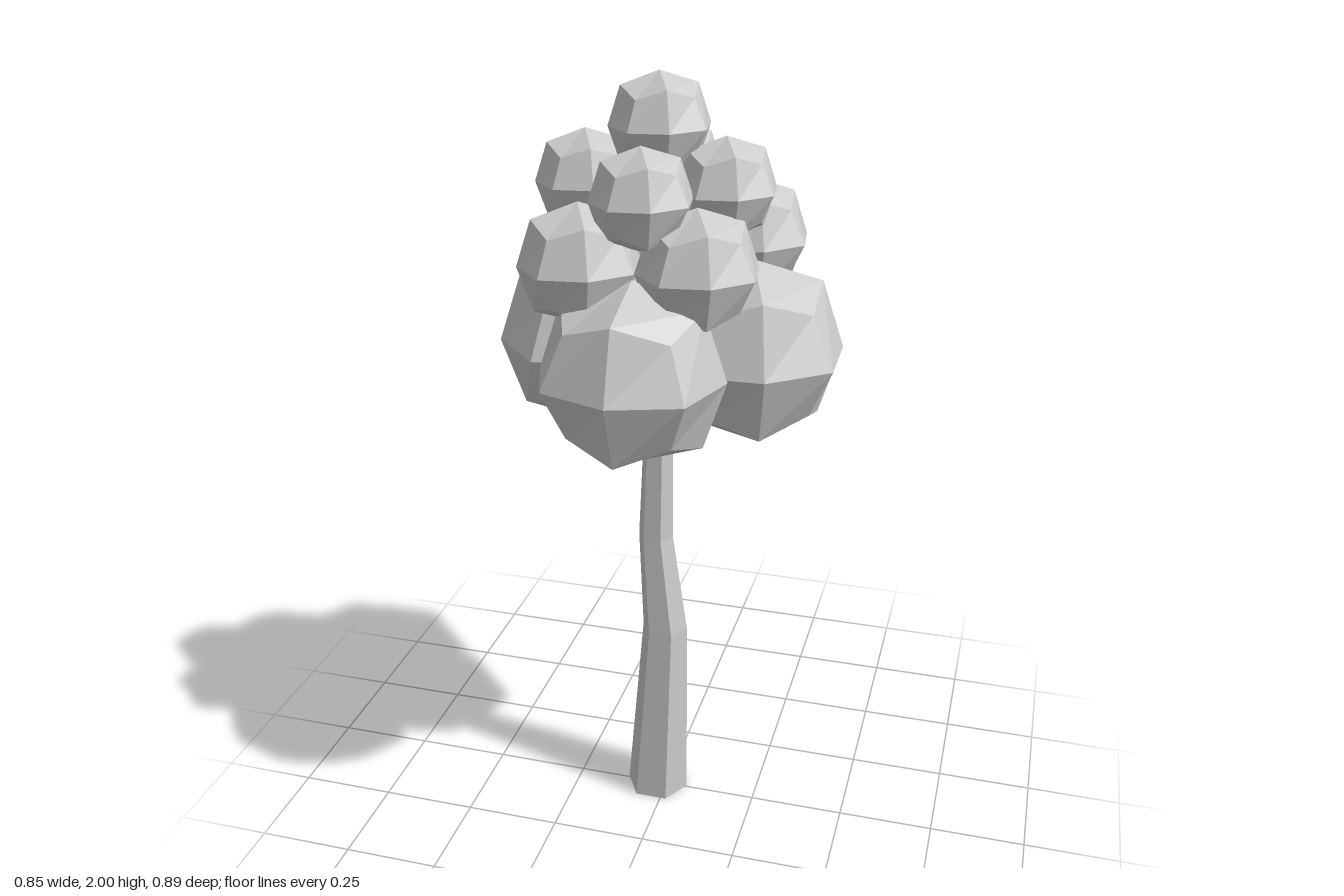
import * as THREE from 'three';

const material = new THREE.MeshStandardMaterial({ color: 0xcccccc, flatShading: true });

// Faceted ball: a 2x2x2-segment box rounded by one smoothing step
function makeBallGeometry() {
  const geo = new THREE.BoxGeometry(2, 2, 2, 2, 2, 2);
  const pos = geo.attributes.position;
  const shrink = { 1: 1, 2: 0.75, 3: 0.556 }; // face centre, edge middle, corner
  const v = new THREE.Vector3();
  for (let i = 0; i < pos.count; i++) {
    v.fromBufferAttribute(pos, i);
    const axes = v.toArray().filter((c) => Math.abs(c) > 0.5).length;
    v.multiplyScalar(shrink[axes]);
    pos.setXYZ(i, v.x, v.y, v.z);
  }
  geo.computeVertexNormals();
  return geo;
}

// Bent, tapering six-sided trunk; rings are [y, centre x, radius]
function makeTrunk() {
  const rings = [
    [0, -0.027, 0.085],
    [0.525, -0.005, 0.061],
    [0.8, -0.03, 0.046],
    [1.3, -0.018, 0.033],
  ];
  const segments = rings.length - 1;
  const geo = new THREE.CylinderGeometry(1, 1, segments, 6, segments, false, Math.PI / 2);
  const pos = geo.attributes.position;
  for (let i = 0; i < pos.count; i++) {
    const [y, x, r] = rings[Math.round(pos.getY(i) + segments / 2)];
    pos.setXYZ(i, x + pos.getX(i) * r, y, -0.005 + pos.getZ(i) * r);
  }
  geo.computeVertexNormals();
  const trunk = new THREE.Mesh(geo, material);
  trunk.name = 'trunk';
  return trunk;
}

export function createModel() {
  const model = new THREE.Group();
  model.name = 'tree';
  model.add(makeTrunk());

  // Foliage tiers; balls are [x, z, turn in degrees]
  const tiers = [
    { name: 'lowerFoliage', y: 1.34, r: 0.227,
      balls: [[-0.023, 0.214, 0], [-0.023, -0.23, 20], [0.209, -0.016, 20], [-0.2, -0.02, 26]] },
    { name: 'middleFoliage', y: 1.58, r: 0.146,
      balls: [[-0.165, 0.163, 26], [0.112, 0.144, 26], [0.167, -0.163, 26], [-0.155, -0.119, 26]] },
    { name: 'upperFoliage', y: 1.74, r: 0.121,
      balls: [[-0.193, 0.013, 26], [0.146, 0.013, 26], [-0.017, -0.131, 26], [-0.015, 0.162, 26]] },
    { name: 'topFoliage', y: 1.879, r: 0.121, balls: [[-0.013, 0.012, 26]] },
  ];
  const ballGeometry = makeBallGeometry();
  for (const { name, y, r, balls } of tiers) {
    const tier = new THREE.Group();
    tier.name = name;
    for (const [x, z, turn] of balls) {
      const ball = new THREE.Mesh(ballGeometry, material);
      ball.name = 'leafBall';
      ball.position.set(x, y, z);
      ball.scale.setScalar(r);
      ball.rotation.y = THREE.MathUtils.degToRad(turn);
      tier.add(ball);
    }
    model.add(tier);
  }
  return model;
}
